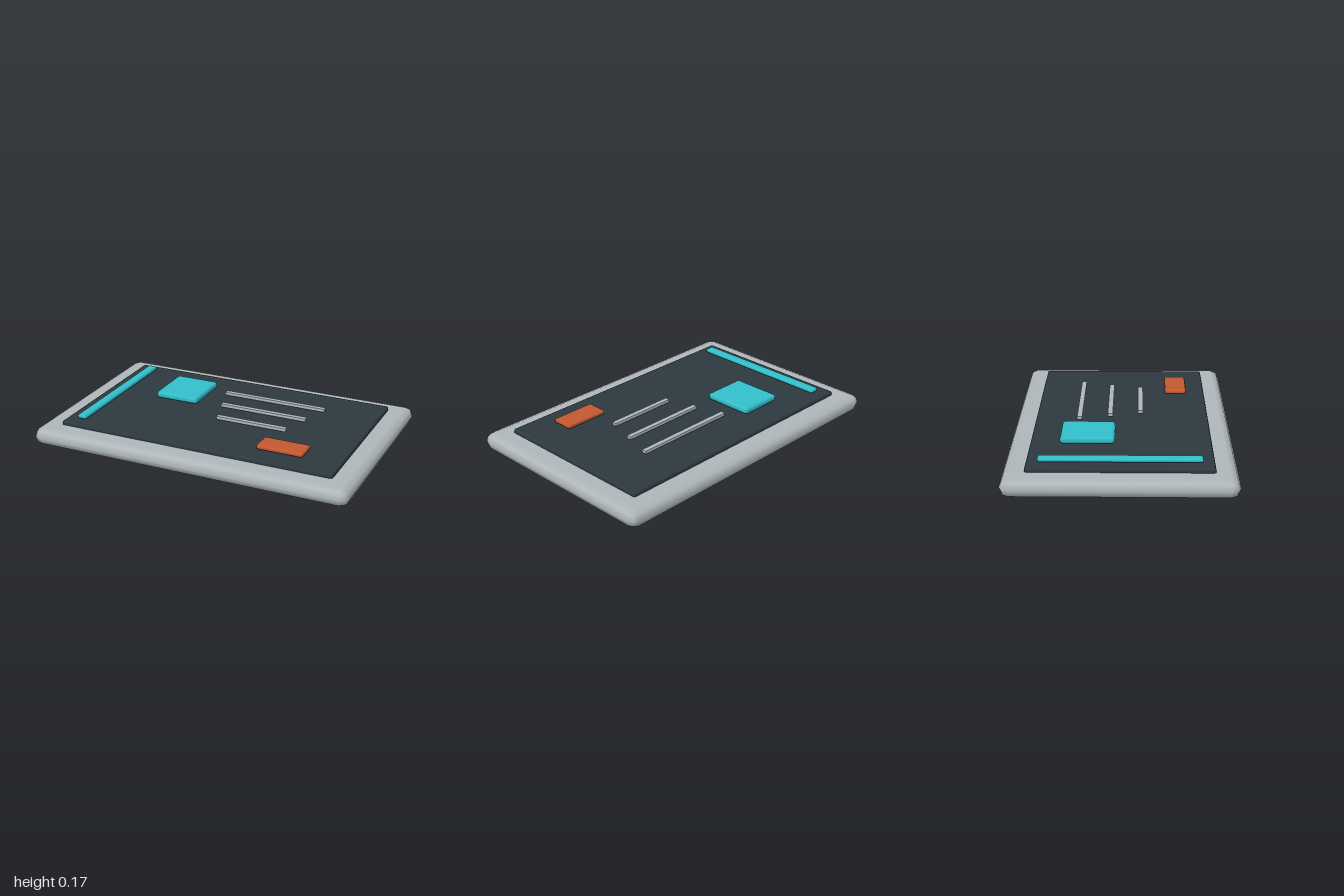
import * as THREE from 'three';
import { RoundedBoxGeometry } from 'three/addons/geometries/RoundedBoxGeometry.js';

const material = (name, color) => {
  const m = new THREE.MeshStandardMaterial({ color });
  m.name = name;
  return m;
};

export function createModel() {
  const model = new THREE.Group();
  model.name = 'tabletPanel';

  const grey = material('light grey', 0xb0b8bb);
  const dark = material('dark slate', 0x2d3a40);
  const teal = material('teal', 0x33c0cc);
  const orange = material('burnt orange', 0xc45a30);

  // Block given by its extents; a radius of 0 leaves the edges sharp
  const block = (name, mat, [x0, x1], [y0, y1], [z0, z1], radius = 0) => {
    const size = [x1 - x0, y1 - y0, z1 - z0];
    const geometry = radius
      ? new RoundedBoxGeometry(...size, 1, radius)
      : new THREE.BoxGeometry(...size);
    const mesh = new THREE.Mesh(geometry, mat);
    mesh.name = name;
    mesh.position.set((x0 + x1) / 2, (y0 + y1) / 2, (z0 + z1) / 2);
    model.add(mesh);
  };

  // Body and inset screen
  block('body', grey, [-1, 1], [0, 0.108], [-0.653, 0.653], 0.054);
  block('screen', dark, [-0.867, 0.867], [0.094, 0.132], [-0.523, 0.523], 0.012);

  // Raised interface pieces
  block('sideBar', teal, [-0.797, -0.735], [0.135, 0.163], [-0.459, 0.459], 0.014);
  block('imageTile', teal, [-0.516, -0.232], [0.132, 0.175], [-0.352, -0.035], 0.018);
  block('button', orange, [0.361, 0.647], [0.135, 0.163], [0.27, 0.406], 0.012);

  // Text lines, each shorter than the one above
  for (let i = 0; i < 3; i++) {
    const z = -0.256 + i * 0.184;
    const half = 0.332 - i * 0.0535;
    block(`textLine${i + 1}`, grey, [0.206 - half, 0.206 + half], [0.141, 0.16], [z - 0.015, z + 0.015]);
  }

  return model;
}
